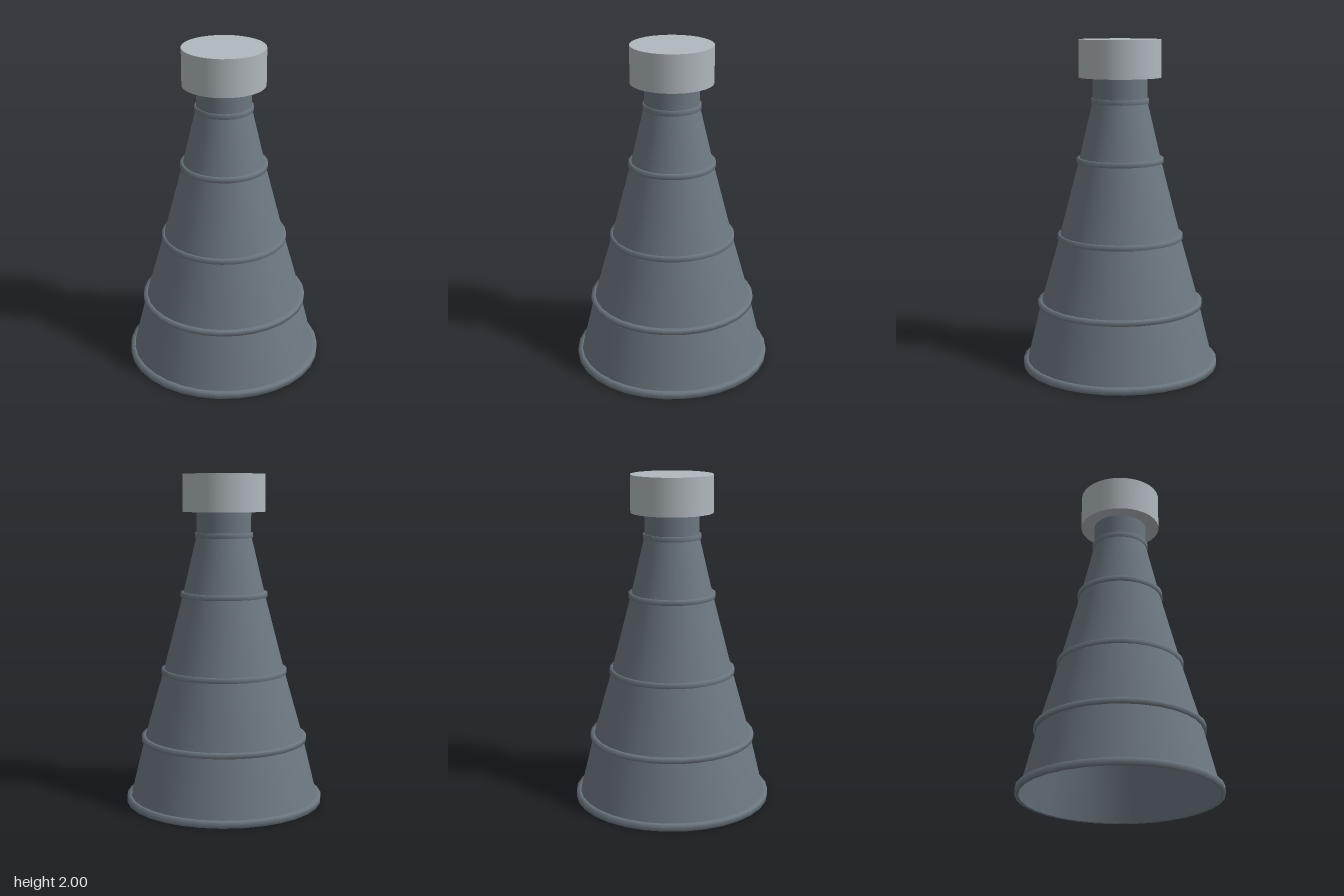
import * as THREE from 'three';

const SEGMENTS = 32;

export function createModel() {
  const shellGrey = new THREE.MeshStandardMaterial({ color: 0x6c7780, side: THREE.DoubleSide });
  shellGrey.name = 'slate grey';
  const capGrey = new THREE.MeshStandardMaterial({ color: 0xb0b8be });
  capGrey.name = 'light grey';

  const group = new THREE.Group();
  group.name = 'nozzle';

  const add = (name, geometry, material) => {
    const mesh = new THREE.Mesh(geometry, material);
    mesh.name = name;
    group.add(mesh);
    return mesh;
  };
  const lathe = (points) =>
    new THREE.LatheGeometry(points.map(([r, y]) => new THREE.Vector2(r, y)), SEGMENTS);

  // Hollow bell, open at the bottom, with a straight throat at the top
  add('bell', lathe([
    [0.583, 0], [0.487, 0.395], [0.37, 0.81], [0.248, 1.28], [0.164, 1.635],
  ]), shellGrey);
  add('throat', lathe([[0.164, 1.635], [0.164, 1.78]]), shellGrey);

  // Raised hoops: bottom, top, inner radius below and above, outer radius
  const hoops = [
    [0, 0.038, 0.58, 0.574, 0.602],
    [0.38, 0.41, 0.49, 0.483, 0.508],
    [0.795, 0.825, 0.374, 0.366, 0.384],
    [1.263, 1.293, 0.252, 0.245, 0.264],
    [1.62, 1.65, 0.167, 0.164, 0.175],
  ];
  hoops.forEach(([y0, y1, r0, r1, outer], i) => {
    add(i === 0 ? 'baseRim' : `hoop${i}`,
      lathe([[r0, y0], [outer, y0], [outer, y1], [r1, y1]]), shellGrey);
  });

  // Solid cap on the throat
  const cap = add('cap', new THREE.CylinderGeometry(0.248, 0.248, 0.225, SEGMENTS), capGrey);
  cap.position.y = 1.8875;

  return group;
}
